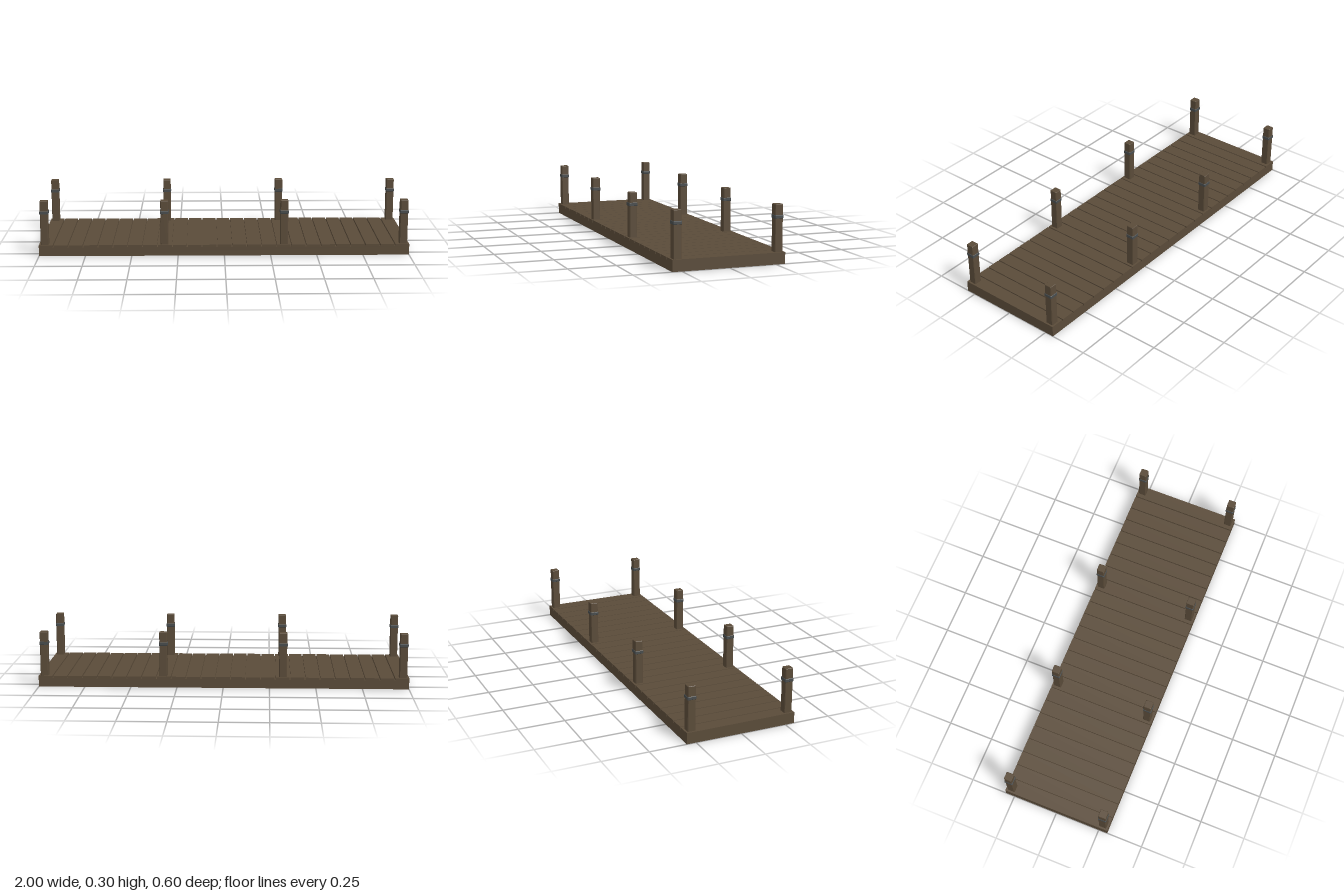
import * as THREE from 'three';

// Upright block with chamfered corners and rims, standing on y = 0
function chamferedBlock(width, height, bevel) {
  const h = width / 2 - bevel; // bevel grows the outline back to full width
  const c = bevel;
  const shape = new THREE.Shape([
    [h, -h + c], [h, h - c], [h - c, h], [-h + c, h],
    [-h, h - c], [-h, -h + c], [-h + c, -h], [h - c, -h],
  ].map(([x, y]) => new THREE.Vector2(x, y)));
  const geometry = new THREE.ExtrudeGeometry(shape, {
    depth: height - 2 * bevel, bevelEnabled: true,
    bevelSize: bevel, bevelThickness: bevel, bevelSegments: 1,
  });
  geometry.translate(0, 0, bevel);
  geometry.rotateX(-Math.PI / 2);
  return geometry;
}

export function createModel() {
  const wood = new THREE.MeshStandardMaterial({ color: 0x5a4b39 });
  wood.name = 'weathered wood';
  const iron = new THREE.MeshStandardMaterial({ color: 0x484c4d });
  iron.name = 'dark iron';

  const model = new THREE.Group();
  model.name = 'dock';

  function add(parent, name, geometry, material, x, y, z) {
    const mesh = new THREE.Mesh(geometry, material);
    mesh.name = name;
    mesh.position.set(x, y, z);
    parent.add(mesh);
  }

  // Solid base under the deck
  add(model, 'base', new THREE.BoxGeometry(2, 0.048, 0.6), wood, 0, 0.024, 0);

  // Planks laid across, with narrow gaps between them
  const planks = new THREE.Group();
  planks.name = 'planks';
  model.add(planks);
  const count = 25, gap = 0.006;
  const plankWidth = (2 - gap * (count - 1)) / count;
  const plank = new THREE.BoxGeometry(plankWidth, 0.012, 0.6);
  for (let i = 0; i < count; i++) {
    const x = -1 + plankWidth / 2 + i * (plankWidth + gap);
    add(planks, 'plank', plank, wood, x, 0.054, 0);
  }

  // Four pairs of posts, each with an iron band
  const postGeometry = chamferedBlock(0.042, 0.25, 0.002);
  const bandGeometry = chamferedBlock(0.047, 0.018, 0.002);
  for (const x of [-0.969, -0.323, 0.323, 0.969]) {
    for (const z of [-0.269, 0.269]) {
      const post = new THREE.Group();
      post.name = 'post';
      post.position.set(x, 0, z);
      add(post, 'postShaft', postGeometry, wood, 0, 0.05, 0);
      add(post, 'postBand', bandGeometry, iron, 0, 0.228, 0);
      model.add(post);
    }
  }
  return model;
}
